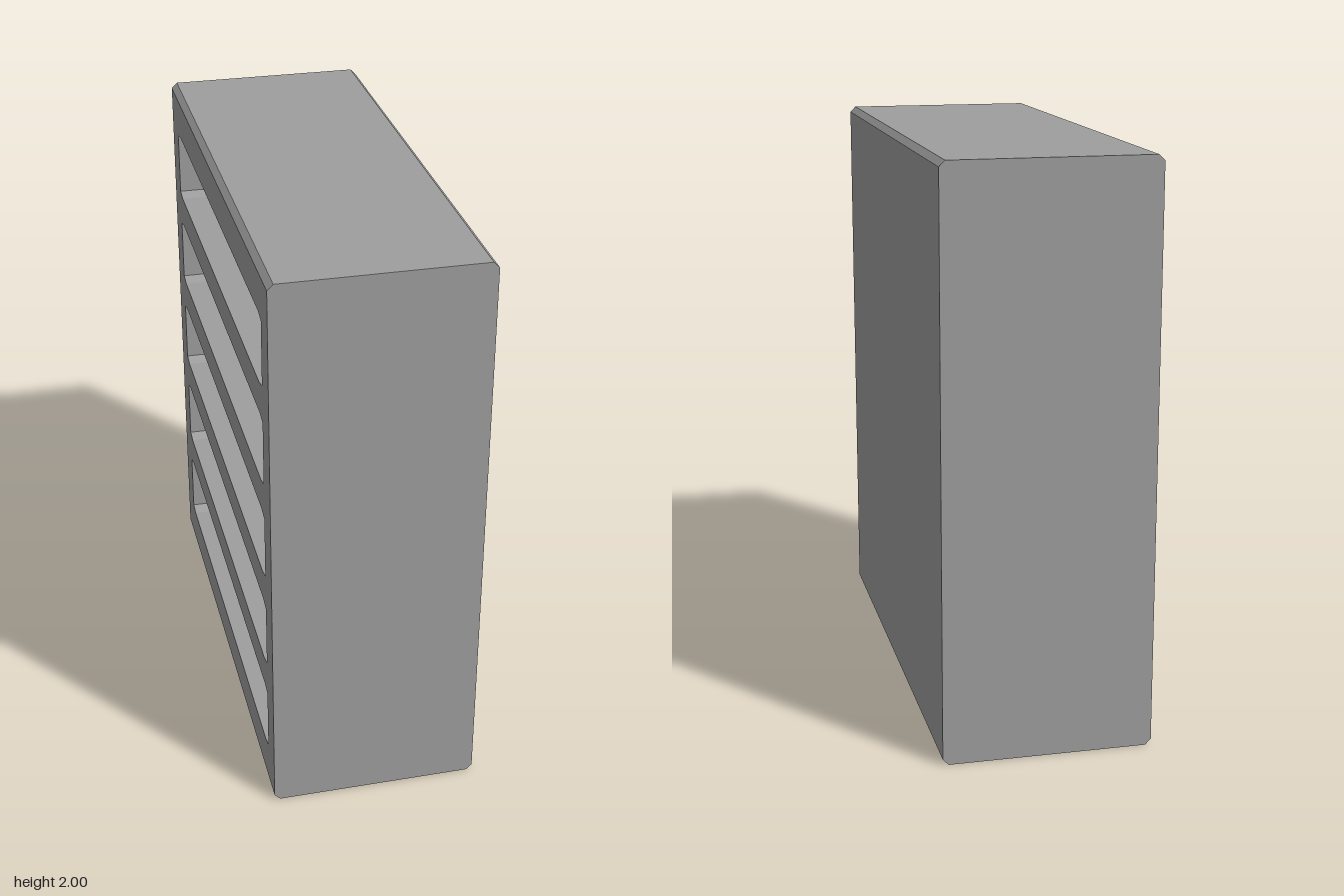
import * as THREE from 'three';

const W = 0.72, H = 2, D = 1.8;   // x, y, z size of the cabinet
const BEVEL = 0.02;               // chamfer along the long edges
const BACK = 0.1;                 // thickness of the closed panel on the +x side

// Rectangle with corners cut by cx across and cy up, centred on (x0, y0)
function cutRect(x0, y0, w, h, cx, cy) {
  const x = w / 2, y = h / 2;
  const points = [
    [-x + cx, -y], [x - cx, -y], [x, -y + cy], [x, y - cy],
    [x - cx, y], [-x + cx, y], [-x, y - cy], [-x, -y + cy],
  ];
  return new THREE.Path(points.map(([px, py]) => new THREE.Vector2(x0 + px, y0 + py)));
}

// Frame with five long openings, extruded from the open side inwards
function frameGeometry() {
  const depth = W - BACK;
  const shape = new THREE.Shape([
    new THREE.Vector2(-D / 2, 0), new THREE.Vector2(D / 2, 0),
    new THREE.Vector2(D / 2, H), new THREE.Vector2(-D / 2, H),
  ]);
  for (let i = 0; i < 5; i++) {
    shape.holes.push(cutRect(-0.01, 0.28 + i * 0.36, 1.58, 0.25, 0.045, 0.012));
  }
  const geo = new THREE.ExtrudeGeometry(shape, { depth, steps: 2, bevelEnabled: false });

  // Middle ring moves next to the open side; outer top and bottom edges pull in there
  const p = geo.attributes.position;
  for (let i = 0; i < p.count; i++) {
    const y = p.getY(i), z = p.getZ(i);
    if (z < 1e-4) {
      if (y < 1e-4) p.setY(i, BEVEL);
      if (y > H - 1e-4) p.setY(i, H - BEVEL);
    } else if (z < depth - 1e-4) {
      p.setZ(i, BEVEL);
    }
  }
  geo.computeVertexNormals();
  return geo.rotateY(Math.PI / 2).translate(-W / 2, 0, 0);
}

// Closed panel behind the compartments, chamfered on its outer edges
function backPanelGeometry() {
  const x0 = W / 2 - BACK, x1 = W / 2;
  const shape = new THREE.Shape([
    [x0, 0], [x1 - BEVEL, 0], [x1, BEVEL],
    [x1, H - BEVEL], [x1 - BEVEL, H], [x0, H],
  ].map(([x, y]) => new THREE.Vector2(x, y)));
  return new THREE.ExtrudeGeometry(shape, { depth: D, bevelEnabled: false })
    .translate(0, 0, -D / 2);
}

export function createModel() {
  const group = new THREE.Group();
  group.name = 'shelfCabinet';
  const material = new THREE.MeshStandardMaterial({ color: 0x9e9e9e, flatShading: true });

  const frame = new THREE.Mesh(frameGeometry(), material);
  frame.name = 'shelfFrame';
  const back = new THREE.Mesh(backPanelGeometry(), material);
  back.name = 'backPanel';

  group.add(frame, back);
  return group;
}
